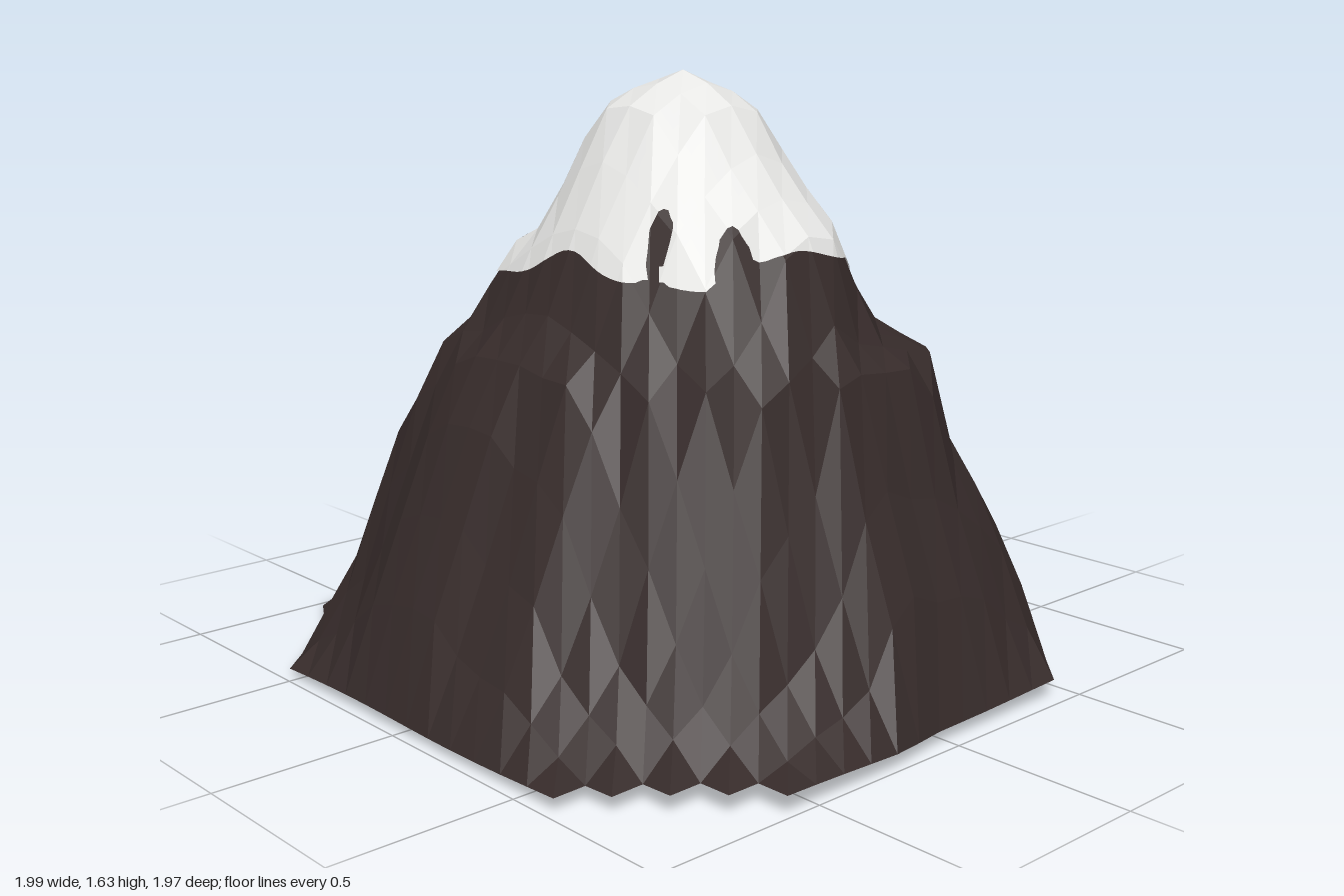
import * as THREE from 'three';

const PITCH = 0.0938, CX = 0.03, CZ = 0.04;
const { smoothstep, lerp } = THREE.MathUtils;

// slope profile: radius from the peak at each height, in four directions
const LEVELS = [1.622, 1.585, 1.52, 1.36, 1.20, 1.15, 0.95, 0.88, 0.65, 0.45, 0.22, 0.03];
const RIGHT = [0, 0.11, 0.21, 0.32, 0.49, 0.515, 0.585, 0.68, 0.735, 0.81, 0.89, 0.98];
const LEFT = [0, 0.13, 0.25, 0.335, 0.40, 0.51, 0.62, 0.66, 0.78, 0.84, 0.89, 1.03];
const FRONT = [0, 0.10, 0.21, 0.30, 0.39, 0.41, 0.50, 0.59, 0.69, 0.77, 0.87, 0.95];
const BACK = [0, 0.10, 0.21, 0.29, 0.39, 0.41, 0.50, 0.59, 0.69, 0.79, 0.90, 1.03];
// change of radius that forms a shelf on the back left side
const SHELF = [0, 0, 0, 0, -0.04, -0.07, -0.10, 0.03, -0.04, 0, 0, 0];
// bare rock showing through the snow: x, z, size
const BARE_SPOTS = [[-0.38, 0.25, 0.03], [0.27, 0.33, 0.035], [0.43, 0.24, 0.035]];

// footprint on the grid: stepped on two corners, cut diagonally on the others
function inside(i, j) {
  if (j === -11) return i >= -2 && i <= 1;
  if (Math.abs(i) > 10 || Math.abs(j) > 10) return false;
  if (j === -10 && i < -6) return false;
  return i - j <= 15 && j - i <= 16 && i + j <= 16 && i + j >= -17;
}

function isRim(i, j) {
  for (let a = -1; a <= 1; a++) {
    for (let b = -1; b <= 1; b++) if (a * b >= 0 && !inside(i + a, j + b)) return true;
  }
  return false;
}

const rimHeight = (x, z) =>
  Math.max(0, 0.032 + 0.02 * x - 0.008 * Math.cos(5 * Math.atan2(z, x)));

function slopeHeight(x, z) {
  const dx = x - CX, dz = z - CZ;
  const r = Math.hypot(dx, dz);
  if (r < 0.01) return LEVELS[0];
  const a = Math.atan2(dz, dx);
  const wx = Math.cos(a) ** 2, wz = Math.sin(a) ** 2;
  const px = dx > 0 ? RIGHT : LEFT, pz = dz > 0 ? FRONT : BACK;
  // diagonal ridges, shallow gullies and a foot that flares at the corners
  const s = Math.sin(2 * a);
  const ridge = 0.01 * s * s - 0.045 * s;
  const gully = 0.012 * Math.sin(11 * a + 1) + 0.01 * Math.sin(17 * a);
  const stretch = 1 + lerp(-0.03 * s * s, ridge + gully, smoothstep(r, 0.35, 0.65));
  const shelf = Math.exp(-(((a + 0.6) / 0.35) ** 2));
  const foot = LEVELS.length - 1;
  const radius = (k) => (px[k] * wx + pz[k] * wz) * (1 + SHELF[k] * shelf)
    * (k === foot ? 1 + 0.1 * s * s : stretch);
  for (let k = 1; k <= foot; k++) {
    const r0 = radius(k - 1), r1 = radius(k);
    if (r <= r1) return lerp(LEVELS[k - 1], LEVELS[k], (r - r0) / (r1 - r0));
  }
  return rimHeight(x, z);
}

function gridPoint(i, j) {
  const z = CZ + j * PITCH;
  let x = CX + i * PITCH;
  x += 0.03 * smoothstep(x, 0.2, 0.6) * smoothstep(z, 0, 0.25);
  if (i === -10) {
    x -= 0.05 * smoothstep(z, -0.45, -0.25) + 0.035 * Math.exp(-(((z - 0.5) / 0.15) ** 2));
  }
  const y = isRim(i, j) ? rimHeight(x, z) : slopeHeight(x, z);
  return new THREE.Vector3(x, y, z);
}

function slopeTriangles() {
  const triangles = [];
  const add = (...cells) => {
    if (cells.every(([i, j]) => inside(i, j))) triangles.push(cells.map(([i, j]) => gridPoint(i, j)));
  };
  for (let j = -11; j < 10; j++) {
    for (let i = -10; i < 10; i++) {
      add([i, j], [i, j + 1], [i + 1, j + 1]);
      add([i, j], [i + 1, j + 1], [i + 1, j]);
    }
  }
  return triangles;
}

// splits a triangle in four
function quarter([a, b, c]) {
  const mid = (p, q) => p.clone().lerp(q, 0.5);
  const ab = mid(a, b), bc = mid(b, c), ca = mid(c, a);
  return [[a, ab, ca], [ab, b, bc], [ca, bc, c], [ab, bc, ca]];
}

// height above the wavy snow line, which rises over the bare spots
function aboveSnowLine(p) {
  const a = Math.atan2(p.z - CZ, p.x - CX);
  let line = 1.122 + 0.04 * Math.cos(4 * a) + 0.02 * Math.cos(a) + 0.012 * Math.sin(9 * a);
  for (const [x, z, size] of BARE_SPOTS) {
    line += 0.3 * Math.exp(-((p.x - x) ** 2 + (p.z - z) ** 2) / size ** 2);
  }
  return p.y - line;
}

// keeps the part of a triangle above the snow line
function clipToSnow(triangle) {
  const out = [];
  triangle.forEach((p, n) => {
    const q = triangle[(n + 1) % 3];
    const fp = aboveSnowLine(p), fq = aboveSnowLine(q);
    if (fp >= 0) out.push(p);
    if (fp * fq < 0) out.push(p.clone().lerp(q, fp / (fp - fq)));
  });
  const fan = [];
  for (let k = 2; k < out.length; k++) fan.push([out[0], out[k - 1], out[k]]);
  return fan;
}

function toMesh(name, triangles, material) {
  const geometry = new THREE.BufferGeometry().setFromPoints(triangles.flat());
  geometry.computeVertexNormals(); // unshared corners give flat facets
  const mesh = new THREE.Mesh(geometry, material);
  mesh.name = name;
  return mesh;
}

export function createModel() {
  const rock = new THREE.MeshStandardMaterial({ color: 0x362b2a, side: THREE.DoubleSide, flatShading: true });
  rock.name = 'dark rock';
  const snow = new THREE.MeshStandardMaterial({ color: 0xe6e6e4, side: THREE.DoubleSide, flatShading: true });
  snow.name = 'snow white';

  const group = new THREE.Group();
  group.name = 'mountain';

  // hollow rock shell
  const triangles = slopeTriangles();
  group.add(toMesh('rockSlopes', triangles, rock));

  // thin snow layer lying on the summit
  const fine = triangles.flatMap(quarter).flatMap(quarter);
  const cap = toMesh('snowCap', fine.flatMap(clipToSnow), snow);
  cap.position.y = 0.009;
  group.add(cap);
  return group;
}
